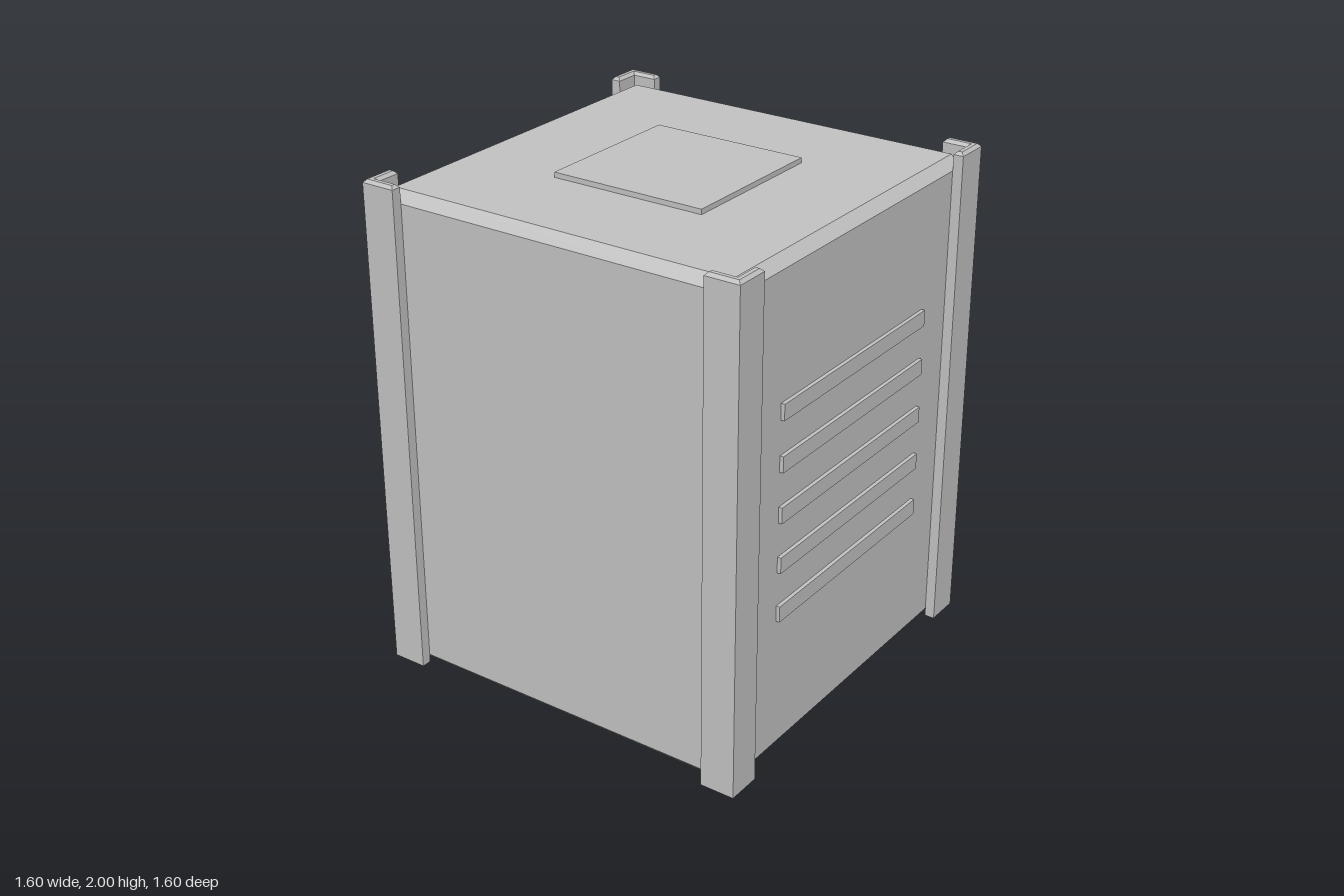
import * as THREE from 'three';

const HALF = 0.76, CHAMFER = 0.04, BOTTOM = 0.005, TOP = 1.965;

// Chamfered shell, open underneath, lofted through eight-sided rings
function shellGeometry() {
  const ring = (y, half, cut) => {
    const a = half, b = half - cut;
    return [[a, -b], [a, b], [b, a], [-b, a], [-a, b], [-a, -b], [-b, -a], [b, -a]]
      .map(([x, z]) => [x, y, z]);
  };
  const inner = HALF - CHAMFER;
  const rings = [
    ring(BOTTOM, inner, 0),
    ring(BOTTOM + CHAMFER, HALF, CHAMFER),
    ring(TOP - CHAMFER, HALF, CHAMFER),
    ring(TOP, inner, 0),
  ];
  const pos = [];
  const tri = (a, b, c) => {
    const same = (p, q) => p.every((v, i) => v === q[i]);
    if (!same(a, b) && !same(b, c) && !same(a, c)) pos.push(...a, ...b, ...c);
  };
  for (let r = 0; r < rings.length - 1; r++) {
    for (let i = 0; i < 8; i++) {
      const j = (i + 1) % 8, lo = rings[r], hi = rings[r + 1];
      tri(lo[i], hi[i], hi[j]);
      tri(lo[i], hi[j], lo[j]);
    }
  }
  // Roof
  const t = rings[3];
  tri(t[0], t[5], t[3]);
  tri(t[0], t[3], t[1]);
  const geo = new THREE.BufferGeometry();
  geo.setAttribute('position', new THREE.Float32BufferAttribute(pos, 3));
  geo.computeVertexNormals();
  return geo;
}

// L-section corner post with a small bevel at both ends
function postGeometry() {
  const bevel = 0.012, out = 0.8 - bevel, end = 0.66 + bevel, inn = HALF + bevel;
  const shape = new THREE.Shape([
    [out, out], [end, out], [end, inn], [inn, inn], [inn, end], [out, end],
  ].map(([x, y]) => new THREE.Vector2(x, y)));
  const geo = new THREE.ExtrudeGeometry(shape, {
    depth: 2 - 2 * bevel, bevelEnabled: true, bevelSegments: 1,
    bevelSize: bevel, bevelThickness: bevel,
  });
  geo.translate(0, 0, bevel);
  geo.rotateX(-Math.PI / 2);
  return geo;
}

export function createModel() {
  const group = new THREE.Group();
  const grey = new THREE.MeshStandardMaterial({ color: 0xc0c0c0 });
  grey.name = 'grey';
  const shellGrey = new THREE.MeshStandardMaterial({ color: 0xc0c0c0, side: THREE.DoubleSide });
  shellGrey.name = 'grey shell';

  const add = (name, geo, x = 0, y = 0, z = 0, material = grey) => {
    const mesh = new THREE.Mesh(geo, material);
    mesh.name = name;
    mesh.position.set(x, y, z);
    group.add(mesh);
    return mesh;
  };

  add('body', shellGeometry(), 0, 0, 0, shellGrey);

  // Four corner posts
  const post = postGeometry();
  for (let i = 0; i < 4; i++) add('cornerPost', post).rotation.y = i * Math.PI / 2;

  // Raised plate on the roof
  add('roofPlate', new THREE.BoxGeometry(0.64, 0.04, 0.64), 0, 1.965, 0);

  // Row of vent slats on the left side
  const slat = new THREE.BoxGeometry(0.04, 0.064, 0.96);
  for (let i = 0; i < 5; i++) add('ventSlat', slat, 0.755, 0.605 + i * 0.2, 0);

  // Round cover on the back
  const cover = new THREE.CylinderGeometry(0.23, 0.23, 0.05, 32);
  cover.rotateX(Math.PI / 2);
  add('backCover', cover, 0, 1.3, -0.762);

  return group;
}
